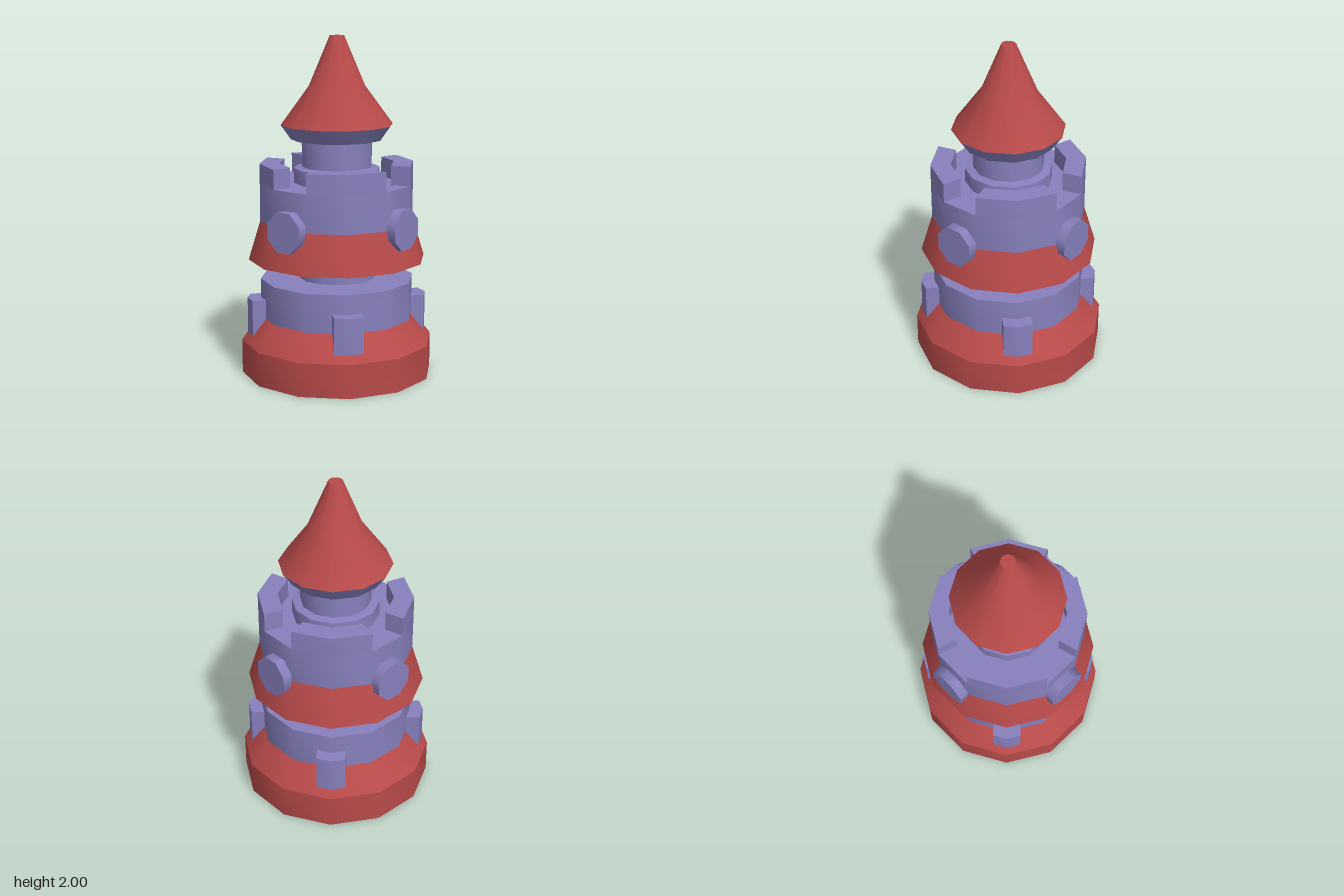
import * as THREE from 'three';
import { toCreasedNormals } from 'three/addons/utils/BufferGeometryUtils.js';

const SIDES = 12;
const CREASE = 0.56; // smooth around the twelve sides, sharp between bands

export function createModel() {
  const model = new THREE.Group();
  model.name = 'tower';

  const red = new THREE.MeshStandardMaterial({ color: 0xb84a4a });
  red.name = 'red';
  const stone = new THREE.MeshStandardMaterial({ color: 0x8780bd });
  stone.name = 'purple stone';

  const add = (name, geometry, material, angle = 0) => {
    const mesh = new THREE.Mesh(geometry, material);
    mesh.name = name;
    mesh.rotation.y = angle;
    model.add(mesh);
    return mesh;
  };

  // Twelve-sided turned part from [radius, height] pairs
  const turned = (name, material, profile) => {
    const points = profile.map(([r, y]) => new THREE.Vector2(r, y));
    return add(name, toCreasedNormals(new THREE.LatheGeometry(points, SIDES), CREASE), material);
  };

  // Upright prism from a plan outline
  const prism = (outline, y0, y1) => {
    const shape = new THREE.Shape(outline.map(([x, y]) => new THREE.Vector2(x, y)));
    const geometry = new THREE.ExtrudeGeometry(shape, { depth: y1 - y0, bevelEnabled: false });
    geometry.rotateX(-Math.PI / 2).translate(0, y0, 0);
    return toCreasedNormals(geometry, CREASE);
  };

  // Base and lower storey
  turned('base', red, [[0, 0], [0.57, 0], [0.57, 0.2], [0.455, 0.345]]);
  turned('lowerWall', stone, [[0.455, 0.345], [0.455, 0.572], [0.2, 0.572]]);
  turned('waist', stone, [[0.225, 0.572], [0.225, 0.658], [0.195, 0.69]]);

  // Upper storey: flared skirt, wall with parapet floor, collar and column
  turned('skirt', red, [[0.15, 0.69], [0.525, 0.69], [0.455, 0.92]]);
  turned('upperWall', stone, [[0.455, 0.92], [0.455, 1.145], [0.2, 1.145]]);
  turned('collar', stone, [[0.255, 1.145], [0.255, 1.23], [0.2, 1.24]]);
  turned('column', stone, [[0.207, 1.145], [0.207, 1.4]]);

  // Roof
  turned('eaves', stone, [[0, 1.4], [0.27, 1.4], [0.33, 1.485]]);
  turned('roof', red, [[0.33, 1.485], [0.165, 1.71], [0.042, 2], [0, 2]]);

  // Each merlon spans two of the twelve sides
  const at = (r, degrees) => {
    const a = THREE.MathUtils.degToRad(degrees);
    return [r * Math.cos(a), r * Math.sin(a)];
  };
  const merlon = prism([
    at(0.455, -30), at(0.455, 0), at(0.455, 30),
    at(0.338, 30), at(0.338, 0), at(0.338, -30),
  ], 1.145, 1.26);

  // Buttresses follow the corner of the wall and sink into the sloping base
  const buttress = prism([
    [0.4, -0.085], [0.512, -0.085], [0.535, 0], [0.512, 0.085], [0.4, 0.085],
  ], 0.21, 0.458);

  // Octagonal round windows on the diagonals
  const roundel = new THREE.CylinderGeometry(0.125, 0.125, 0.075, 8, 1, false, Math.PI / 8);
  roundel.rotateZ(-Math.PI / 2).translate(0.461, 0.917, 0);

  for (let i = 0; i < 4; i++) {
    const angle = i * Math.PI / 2;
    add('merlon', merlon, stone, angle);
    add('buttress', buttress, stone, angle);
    add('roundel', roundel, stone, angle + Math.PI / 4);
  }

  return model;
}
